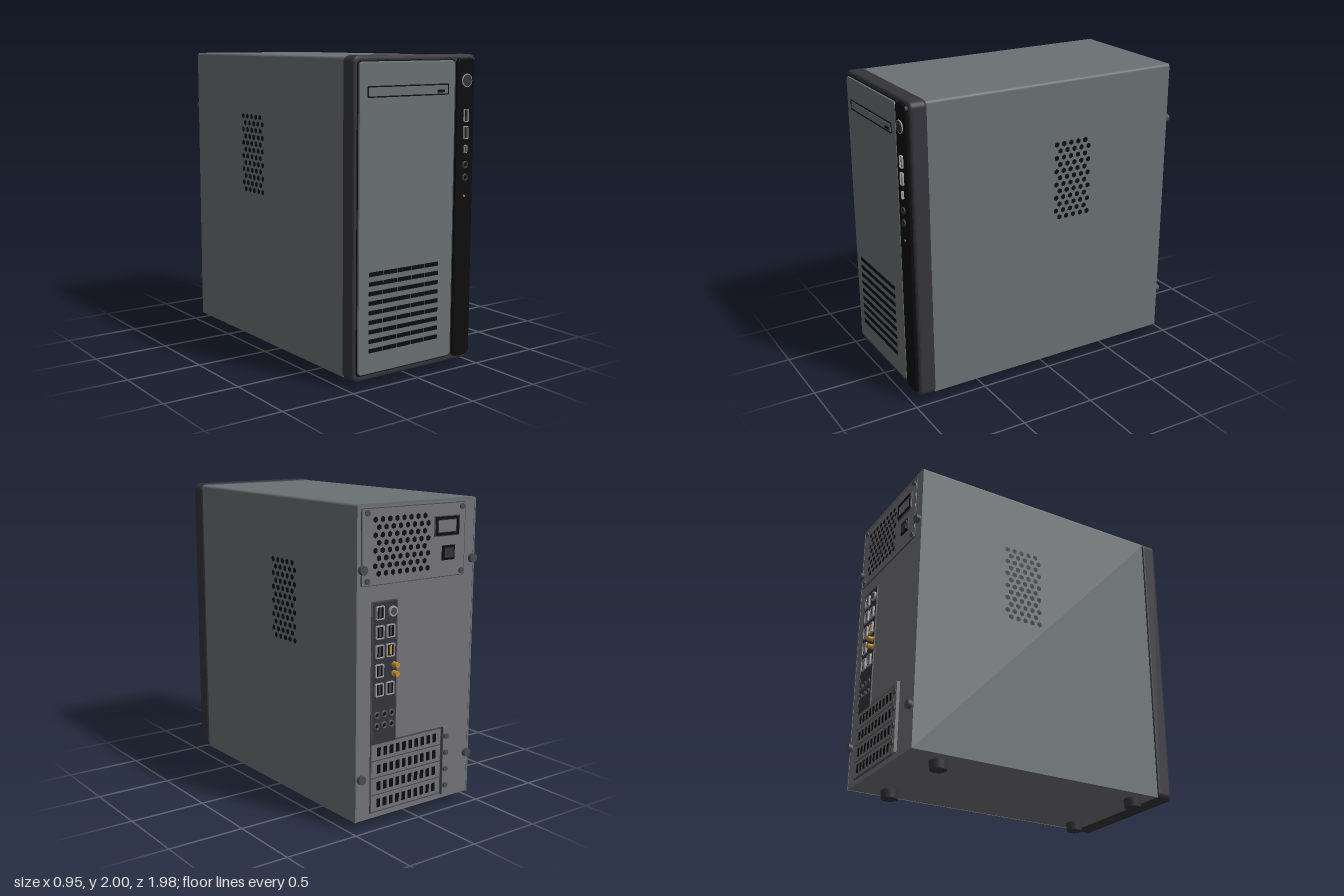
import * as THREE from 'three';
import { mergeGeometries } from 'three/addons/utils/BufferGeometryUtils.js';

const mat = (name, color) => {
  const m = new THREE.MeshStandardMaterial({ color });
  m.name = name;
  return m;
};

// Rounded rectangle outline centred on the origin
function roundRect(w, h, r, Type = THREE.Shape) {
  const s = new Type(), x = w / 2, y = h / 2;
  s.moveTo(-x + r, -y);
  s.lineTo(x - r, -y); s.absarc(x - r, -y + r, r, -Math.PI / 2, 0);
  s.lineTo(x, y - r); s.absarc(x - r, y - r, r, 0, Math.PI / 2);
  s.lineTo(-x + r, y); s.absarc(-x + r, y - r, r, Math.PI / 2, Math.PI);
  s.lineTo(-x, -y + r); s.absarc(-x + r, -y + r, r, Math.PI, Math.PI * 1.5);
  return s;
}

export function createModel() {
  const model = new THREE.Group();
  model.name = 'desktopTower';
  const paint = mat('caseGrey', 0x6a7173), trim = mat('charcoal', 0x35343b);
  const black = mat('black', 0x0c0c0d), steel = mat('steel', 0x747478);
  const bright = mat('brightMetal', 0xa0a0a4), gold = mat('gold', 0xc8922a);
  const dark = mat('darkGrey', 0x4a4c50);

  const add = (name, geo, m, x = 0, y = 0, z = 0) => {
    const mesh = new THREE.Mesh(geo, m);
    mesh.name = name;
    mesh.position.set(x, y, z);
    model.add(mesh);
    return mesh;
  };
  const box = (name, m, x, y, z, w, h, d) => add(name, new THREE.BoxGeometry(w, h, d), m, x, y, z);
  const rod = (name, m, x, y, z, r, d, n = 20) =>
    add(name, new THREE.CylinderGeometry(r, r, d, n).rotateX(Math.PI / 2), m, x, y, z);
  // Rounded plate from z0 to z1 with softened edges
  const plate = (name, m, x, y, z0, z1, w, h, r, bevel) => {
    const g = new THREE.ExtrudeGeometry(roundRect(w - 2 * bevel, h - 2 * bevel, r), {
      depth: z1 - z0 - 2 * bevel, bevelSize: bevel, bevelThickness: bevel, bevelSegments: 3, curveSegments: 6,
    });
    return add(name, g, m, x, y, z0 + bevel);
  };
  // Thin frame of a rounded rectangle
  const frame = (name, m, x, y, z, w, h, t, d) => {
    const s = roundRect(w, h, 0.008);
    s.holes.push(roundRect(w - 2 * t, h - 2 * t, 0.004, THREE.Path));
    return add(name, new THREE.ExtrudeGeometry(s, { depth: d, bevelEnabled: false, curveSegments: 3 }), m, x, y, z);
  };
  // Staggered hexagonal vent, in the xy plane and facing +z
  const hexVent = (cols, rows) => {
    const parts = [];
    for (let r = 0; r < rows; r++) for (let c = 0; c < cols; c++) {
      const g = new THREE.CircleGeometry(0.0185, 6, Math.PI / 6);
      parts.push(g.translate((c - (cols - 1) / 2) * 0.0542 + (r % 2 ? 0.0135 : -0.0135), ((rows - 1) / 2 - r) * 0.0453, 0));
    }
    return mergeGeometries(parts);
  };

  // Steel chassis under a painted three-sided cover
  box('chassis', steel, 0, 1.018, -0.045, 0.91, 1.925, 1.796);
  const u = new THREE.Shape();
  u.moveTo(0.465, 0.053); u.lineTo(0.465, 1.972);
  u.absarc(0.447, 1.972, 0.018, 0, Math.PI / 2);
  u.lineTo(-0.447, 1.99); u.absarc(-0.447, 1.972, 0.018, Math.PI / 2, Math.PI);
  u.lineTo(-0.465, 0.053); u.lineTo(-0.453, 0.053); u.lineTo(-0.453, 1.978);
  u.lineTo(0.453, 1.978); u.lineTo(0.453, 0.053);
  add('cover', new THREE.ExtrudeGeometry(u, { depth: 1.795, bevelEnabled: false, curveSegments: 5 }), paint, 0, 0, -0.945);
  for (const s of [1, -1]) {
    add('sideVent', hexVent(5, 12), black, s * 0.4665, 1.326, -0.184).rotation.y = s * Math.PI / 2;
  }

  // Feet
  for (const x of [-0.335, 0.335]) for (const z of [0.738, -0.704]) {
    add('foot', new THREE.CylinderGeometry(0.058, 0.054, 0.056, 24), trim, x, 0.028, z);
  }

  // Front bezel, main panel and port strip
  plate('bezel', trim, 0, 1.02, 0.845, 0.957, 0.95, 1.956, 0.025, 0.018);
  plate('panelGap', black, -0.075, 1.024, 0.95, 0.96, 0.752, 1.892, 0.025, 0.002);
  plate('frontPanel', paint, -0.075, 1.024, 0.95, 0.972, 0.736, 1.876, 0.02, 0.006);
  plate('portStrip', black, 0.38, 1.022, 0.95, 0.977, 0.138, 1.905, 0.025, 0.005);

  // Optical drive
  frame('driveSlot', black, -0.072, 1.787, 0.97, 0.626, 0.068, 0.008, 0.004);
  box('driveDoor', paint, -0.072, 1.785, 0.972, 0.6, 0.046, 0.004);
  box('driveButton', black, 0.175, 1.777, 0.974, 0.058, 0.016, 0.006);

  // Front intake slots
  for (let r = 0; r < 9; r++) for (let c = 0; c < 5; c++) {
    box('intakeSlot', black, -0.315 + c * 0.11, 0.23 + r * 0.059, 0.972, 0.104, 0.026, 0.006);
  }

  // Power button
  rod('powerButton', trim, 0.38, 1.836, 0.98, 0.036, 0.016, 32);
  add('powerRing', new THREE.TorusGeometry(0.038, 0.004, 8, 36), bright, 0.38, 1.836, 0.984);

  // Front ports
  for (const y of [1.62, 1.513]) {
    frame('usbShell', bright, 0.38, y, 0.975, 0.038, 0.08, 0.004, 0.013);
    box('usbTongue', dark, 0.388, y, 0.98, 0.012, 0.066, 0.012);
  }
  frame('smallPort', bright, 0.38, 1.41, 0.975, 0.022, 0.052, 0.004, 0.013);
  for (const y of [1.31, 1.23]) {
    add('audioJack', new THREE.TorusGeometry(0.018, 0.007, 8, 24), trim, 0.38, y, 0.982);
    rod('audioHole', black, 0.38, y, 0.98, 0.012, 0.008);
  }
  rod('statusLight', gold, 0.38, 1.113, 0.978, 0.007, 0.006, 12);

  // Power supply on the back
  const back = -0.945;
  frame('supplyOutline', dark, 0.03, 1.738, back - 0.004, 0.81, 0.455, 0.005, 0.006);
  box('supplyPlate', steel, 0.03, 1.738, back - 0.002, 0.8, 0.445, 0.006);
  add('supplyVent', hexVent(8, 8), black, 0.132, 1.738, back - 0.0065).rotation.y = Math.PI;
  for (const x of [0.395, -0.345]) for (const y of [1.937, 1.54]) {
    rod('supplyScrew', dark, x, y, back - 0.008, 0.018, 0.012, 16);
  }
  box('inletBlock', dark, -0.22, 1.825, back - 0.006, 0.2, 0.125, 0.012);
  frame('inletRim', black, -0.22, 1.825, back - 0.016, 0.19, 0.115, 0.018, 0.01);
  box('inletSocket', steel, -0.22, 1.825, back - 0.011, 0.14, 0.07, 0.004);
  box('powerSwitch', black, -0.235, 1.66, back - 0.006, 0.1, 0.09, 0.014);
  box('switchRocker', trim, -0.235, 1.66, back - 0.014, 0.07, 0.06, 0.01);

  // Cover thumbscrews
  for (const x of [0.433, -0.433]) for (const y of [1.61, 0.33]) {
    rod('thumbscrew', dark, x, y, back - 0.018, 0.028, 0.024, 20);
    rod('thumbscrewNeck', steel, x, y, back - 0.004, 0.02, 0.012, 16);
  }

  // Rear connector plate
  box('connectorPlate', trim, 0.258, 0.97, back - 0.002, 0.186, 0.88, 0.008);
  frame('connectorRim', dark, 0.258, 0.97, back - 0.008, 0.196, 0.89, 0.007, 0.008);
  for (let i = 0; i < 5; i++) for (const x of [0.298, 0.215]) {
    const y = 1.345 - i * 0.118;
    if (x < 0.25 && i === 0) {
      rod('roundPort', bright, 0.2, y, back - 0.01, 0.032, 0.02);
      rod('roundPortHole', dark, 0.2, y, back - 0.02, 0.022, 0.004);
      continue;
    }
    if (x < 0.25 && i === 3) continue;
    frame('rearPort', bright, x, y, back - 0.018, 0.062, 0.082, 0.007, 0.016);
    box('rearPortInside', black, x, y, back - 0.008, 0.05, 0.07, 0.006);
    box('rearPortTongue', i === 2 && x < 0.25 ? gold : dark, x, y, back - 0.012, 0.014, 0.056, 0.008);
  }
  for (const y of [1.015, 0.96]) {
    rod('antennaNut', gold, 0.182, y, back - 0.008, 0.02, 0.016, 6);
    rod('antennaPost', gold, 0.182, y, back - 0.023, 0.016, 0.044, 16);
  }
  for (const x of [0.315, 0.258, 0.201]) for (const y of [0.715, 0.645]) {
    add('rearAudioJack', new THREE.TorusGeometry(0.018, 0.007, 8, 20), dark, x, y, back - 0.012);
    rod('rearAudioHole', black, x, y, back - 0.007, 0.014, 0.008, 16);
  }

  // Expansion slots with ventilated covers
  box('slotSurround', dark, 0.06, 0.315, back - 0.001, 0.59, 0.45, 0.006);
  for (let i = 0; i < 4; i++) {
    const y = 0.48 - i * 0.11;
    box('slotCover', steel, 0.07, y, back - 0.004, 0.56, 0.1, 0.008);
    for (let c = 0; c < 10; c++) box('slotHole', black, 0.293 - c * 0.05, y, back - 0.008, 0.028, 0.056, 0.003);
    rod('slotScrew', dark, -0.245, y, back - 0.022, 0.018, 0.016, 16);
  }
  box('slotRail', steel, -0.245, 0.315, back - 0.01, 0.045, 0.455, 0.02);
  box('slotRailEdge', dark, -0.222, 0.315, back - 0.011, 0.006, 0.455, 0.02);

  return model;
}
